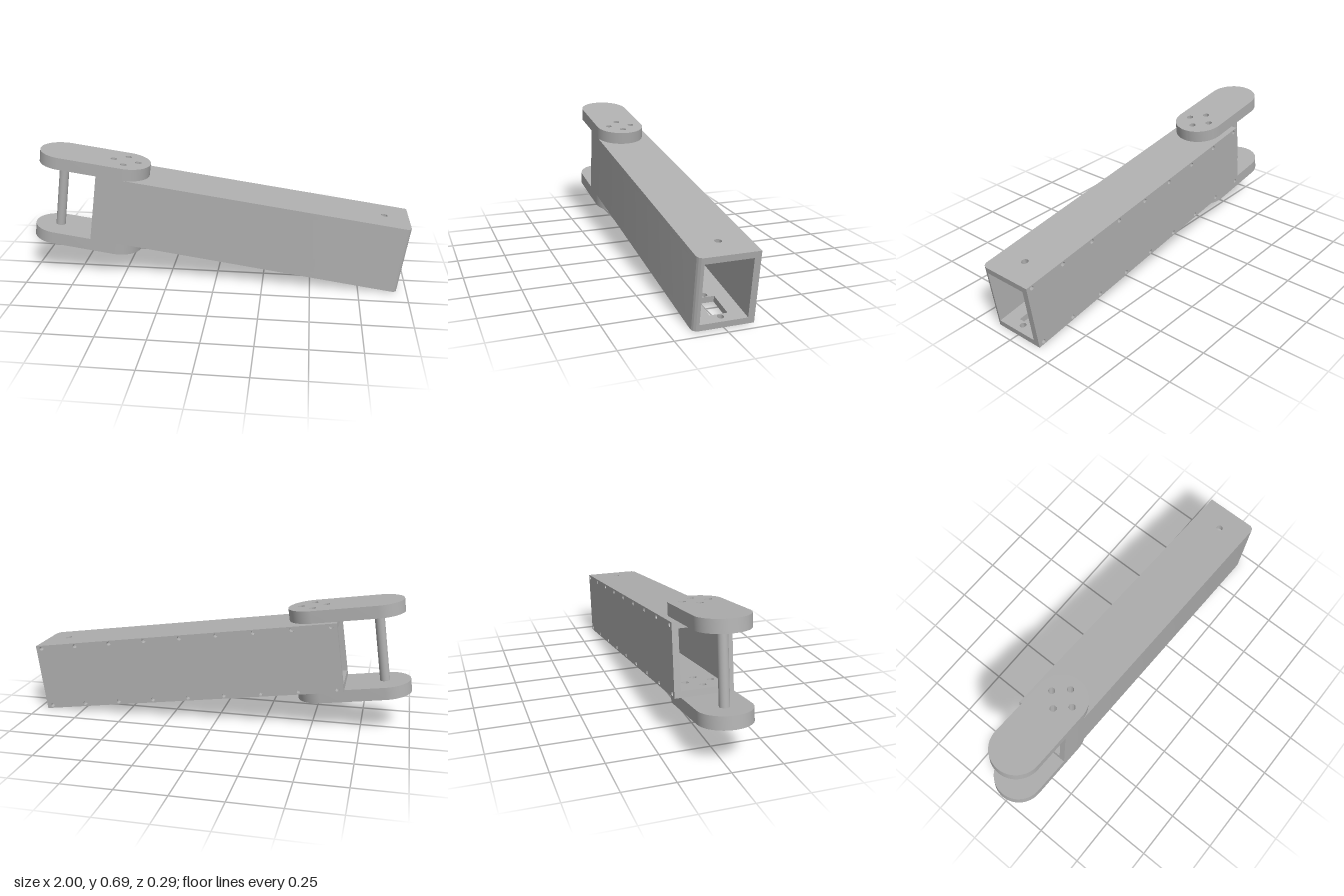
import * as THREE from 'three';
import { toCreasedNormals } from 'three/addons/utils/BufferGeometryUtils.js';

// Local frame before tilting: x along the beam (0 = free end), y up, z to the front
const LENGTH = 1.63, HEIGHT = 0.357, WALL = 0.031;
const FRONT = 0.147, BACK = -0.147, COVER = 0.032;
const PLATE_START = -1.96, PLATE_END = -1.374, PLATE_THICK = 0.064;
const PLATE_Z = 0.016, PLATE_R = 0.131;
const BOLT_X = PLATE_END - PLATE_R, ROD_X = PLATE_START + PLATE_R;

function roundHole(x, y, r) {
  return new THREE.Path().absarc(x, y, r, 0, Math.PI * 2, true);
}

// Four bolts in a cross, passing through plate and beam wall (shape y = -z)
function boltHoles() {
  return [0, 1, 2, 3].map((i) => {
    const a = (i * Math.PI) / 2;
    return roundHole(BOLT_X + 0.065 * Math.cos(a), -PLATE_Z + 0.065 * Math.sin(a), 0.017);
  });
}

// Horizontal strip of the beam between two z values, with its front free corner rounded
function strip(zBack, zFront) {
  const r = 0.03;
  const s = new THREE.Shape();
  s.moveTo(-LENGTH, -zFront);
  s.lineTo(-r, -zFront);
  s.absarc(-r, -zFront + r, r, -Math.PI / 2, 0, false);
  s.lineTo(0, -zBack);
  s.lineTo(-LENGTH, -zBack);
  s.closePath();
  return s;
}

function extrude(shape, depth) {
  return new THREE.ExtrudeGeometry(shape, { depth, bevelEnabled: false, curveSegments: 20 });
}

// Extrude a plan shape upward from y0 to y1
function slab(shape, y0, y1) {
  const g = extrude(shape, y1 - y0).rotateX(-Math.PI / 2).translate(0, y0, 0);
  return toCreasedNormals(g, 0.5);
}

export function createModel() {
  const grey = new THREE.MeshStandardMaterial({ color: 0xb0b0b0 });
  grey.name = 'grey';
  const model = new THREE.Group();
  model.name = 'armSegment';
  const add = (name, geometry) => {
    const mesh = new THREE.Mesh(geometry, grey);
    mesh.name = name;
    model.add(mesh);
    return mesh;
  };

  // Beam: top wall with a cable hole, bottom wall with a slot and two screw holes
  const top = strip(BACK + COVER, FRONT);
  top.holes.push(...boltHoles(), roundHole(-0.13, 0, 0.017));
  add('topWall', slab(top, HEIGHT - WALL, HEIGHT));

  const bottom = strip(BACK + COVER, FRONT);
  const slot = new THREE.Path([
    new THREE.Vector2(-0.207, -0.043), new THREE.Vector2(-0.207, 0.043),
    new THREE.Vector2(-0.06, 0.043), new THREE.Vector2(-0.06, -0.043),
  ]);
  slot.closePath();
  bottom.holes.push(...boltHoles(), slot, roundHole(-0.04, 0, 0.016), roundHole(-0.226, 0, 0.016));
  add('bottomWall', slab(bottom, 0, WALL));

  add('frontWall', slab(strip(FRONT - WALL, FRONT), WALL, HEIGHT - WALL));

  // Back cover with a row of screw holes along each long edge
  const cover = new THREE.Shape();
  cover.moveTo(-LENGTH, 0);
  cover.lineTo(0, 0);
  cover.lineTo(0, HEIGHT);
  cover.lineTo(-LENGTH, HEIGHT);
  cover.closePath();
  for (let i = 0; i < 9; i++) {
    const x = -0.03 - (i * (LENGTH - 0.06)) / 8;
    cover.holes.push(roundHole(x, 0.016, 0.011), roundHole(x, HEIGHT - 0.016, 0.011));
  }
  add('backCover', toCreasedNormals(extrude(cover, COVER).translate(0, 0, BACK), 0.5));

  // Round-ended hinge plates above and below the beam
  for (const [name, y] of [['upperHingePlate', HEIGHT], ['lowerHingePlate', -PLATE_THICK]]) {
    const s = new THREE.Shape();
    s.absarc(BOLT_X, -PLATE_Z, PLATE_R, -Math.PI / 2, Math.PI / 2, false);
    s.absarc(ROD_X, -PLATE_Z, PLATE_R, Math.PI / 2, Math.PI * 1.5, false);
    s.closePath();
    s.holes.push(...boltHoles());
    add(name, slab(s, y, y + PLATE_THICK));
  }

  // Hinge rod joining the plates
  const rod = add('hingeRod', new THREE.CylinderGeometry(0.025, 0.025, HEIGHT, 32));
  rod.position.set(ROD_X, HEIGHT / 2, PLATE_Z);

  // Tilt the whole arm so that its free end rests on the ground
  model.rotation.z = THREE.MathUtils.degToRad(-7.9);
  model.position.set(0.95, 0, 0);
  const root = new THREE.Group();
  root.name = 'hingedArm';
  root.add(model);
  return root;
}
